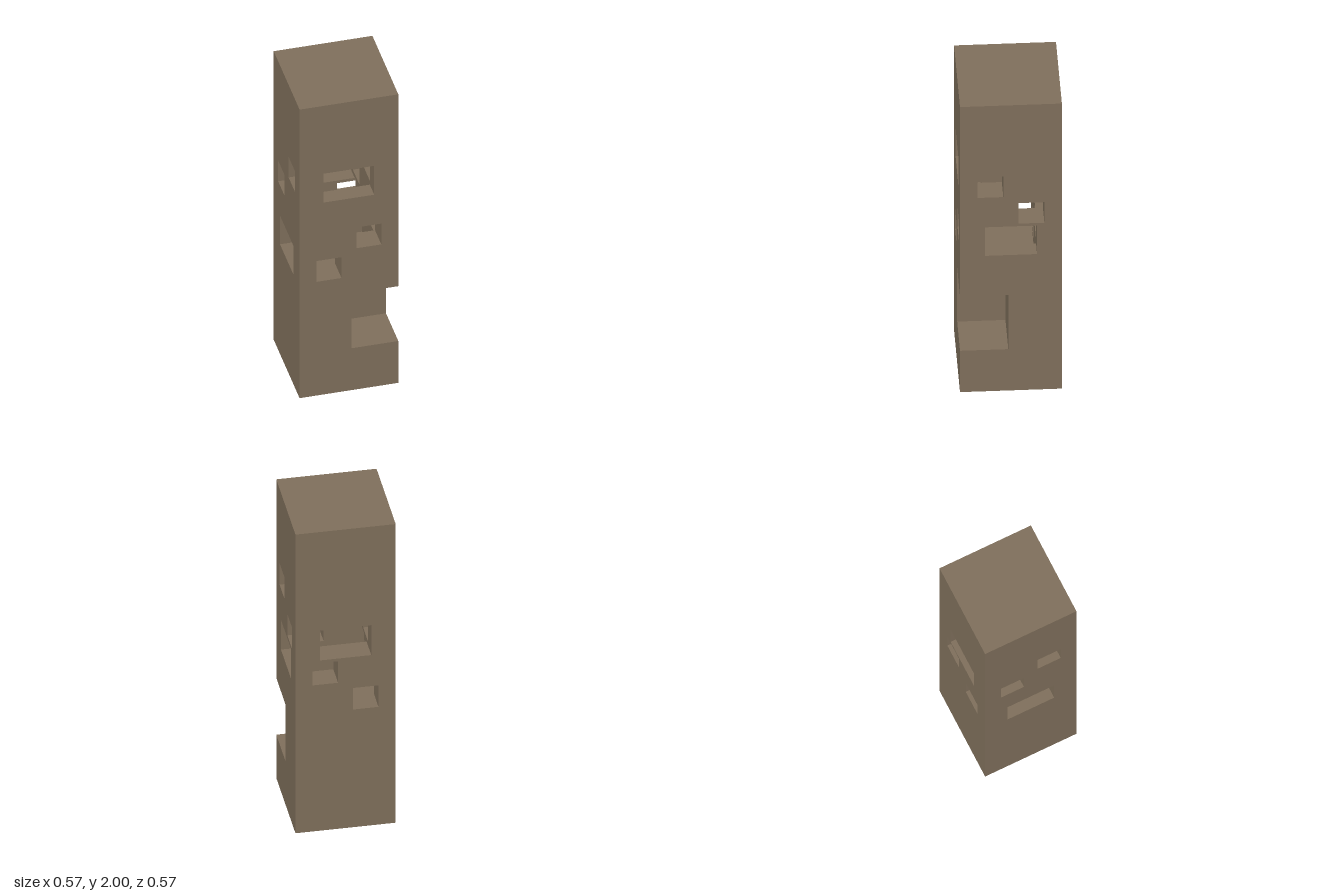
import * as THREE from 'three';

const HALF = 0.285, HEIGHT = 2;

// Each cut is [x0, x1, y0, y1, z0, z1]
function makeCuts() {
  const near = 0.043, far = 0.187, wide = 0.146, out = 1;
  const cuts = [[0.015, out, 0.29, 0.67, 0.015, out]]; // corner notch
  // four stacked levels: a deep pocket from one side, crossed by a through tunnel
  const levels = [['z', 1, 1.43], ['z', -1, 1.24], ['x', 1, 1.05], ['x', -1, 0.86]];
  for (const [axis, side, y] of levels) {
    const pocket = [-far * side, out * side].sort((a, b) => a - b);
    const tunnel = [near * side, far * side].sort((a, b) => a - b);
    const py = [y - 0.1, y + 0.1], ty = [y - 0.072, y + 0.072];
    const across = [-wide, wide], through = [-out, out];
    if (axis === 'z') {
      cuts.push([...across, ...py, ...pocket], [...through, ...ty, ...tunnel]);
    } else {
      cuts.push([...pocket, ...py, ...across], [...tunnel, ...ty, ...through]);
    }
  }
  return cuts;
}

// Splits the block along every cut plane and skins the cells that stay solid
function carvedBlock(min, max, cuts) {
  const planes = [0, 1, 2].map((a) => {
    const all = [min[a], max[a], ...cuts.flatMap((c) => [c[2 * a], c[2 * a + 1]])];
    const inside = all.filter((v) => v >= min[a] && v <= max[a]).sort((p, q) => p - q);
    return inside.filter((v, i) => i === 0 || v - inside[i - 1] > 1e-5);
  });
  const solid = (cell) => {
    if (cell.some((i, a) => i < 0 || i >= planes[a].length - 1)) return false;
    const mid = cell.map((i, a) => (planes[a][i] + planes[a][i + 1]) / 2);
    return !cuts.some((c) => mid.every((m, a) => m > c[2 * a] && m < c[2 * a + 1]));
  };
  const positions = [], normals = [];
  const addFace = (cell, a, dir) => {
    const b = (a + 1) % 3, c = (a + 2) % 3;
    const corner = (u, v) => {
      const p = [0, 0, 0];
      p[a] = planes[a][cell[a] + (dir > 0 ? 1 : 0)];
      p[b] = planes[b][cell[b] + u];
      p[c] = planes[c][cell[c] + v];
      return p;
    };
    const quad = [corner(0, 0), corner(1, 0), corner(1, 1), corner(0, 1)];
    if (dir < 0) quad.reverse();
    const n = [0, 0, 0];
    n[a] = dir;
    for (const i of [0, 1, 2, 0, 2, 3]) {
      positions.push(...quad[i]);
      normals.push(...n);
    }
  };
  for (let i = 0; i < planes[0].length - 1; i++)
    for (let j = 0; j < planes[1].length - 1; j++)
      for (let k = 0; k < planes[2].length - 1; k++) {
        const cell = [i, j, k];
        if (!solid(cell)) continue;
        for (let a = 0; a < 3; a++)
          for (const dir of [-1, 1]) {
            const next = [...cell];
            next[a] += dir;
            if (!solid(next)) addFace(cell, a, dir);
          }
      }
  const geometry = new THREE.BufferGeometry();
  geometry.setAttribute('position', new THREE.Float32BufferAttribute(positions, 3));
  geometry.setAttribute('normal', new THREE.Float32BufferAttribute(normals, 3));
  return geometry;
}

export function createModel() {
  const group = new THREE.Group();
  group.name = 'carvedPost';
  const wood = new THREE.MeshStandardMaterial({ color: 0x80705c });
  wood.name = 'brown wood';

  // square post with pockets, tunnels and a corner notch
  const post = new THREE.Mesh(
    carvedBlock([-HALF, 0, -HALF], [HALF, HEIGHT, HALF], makeCuts()), wood);
  post.name = 'post';
  group.add(post);
  return group;
}
